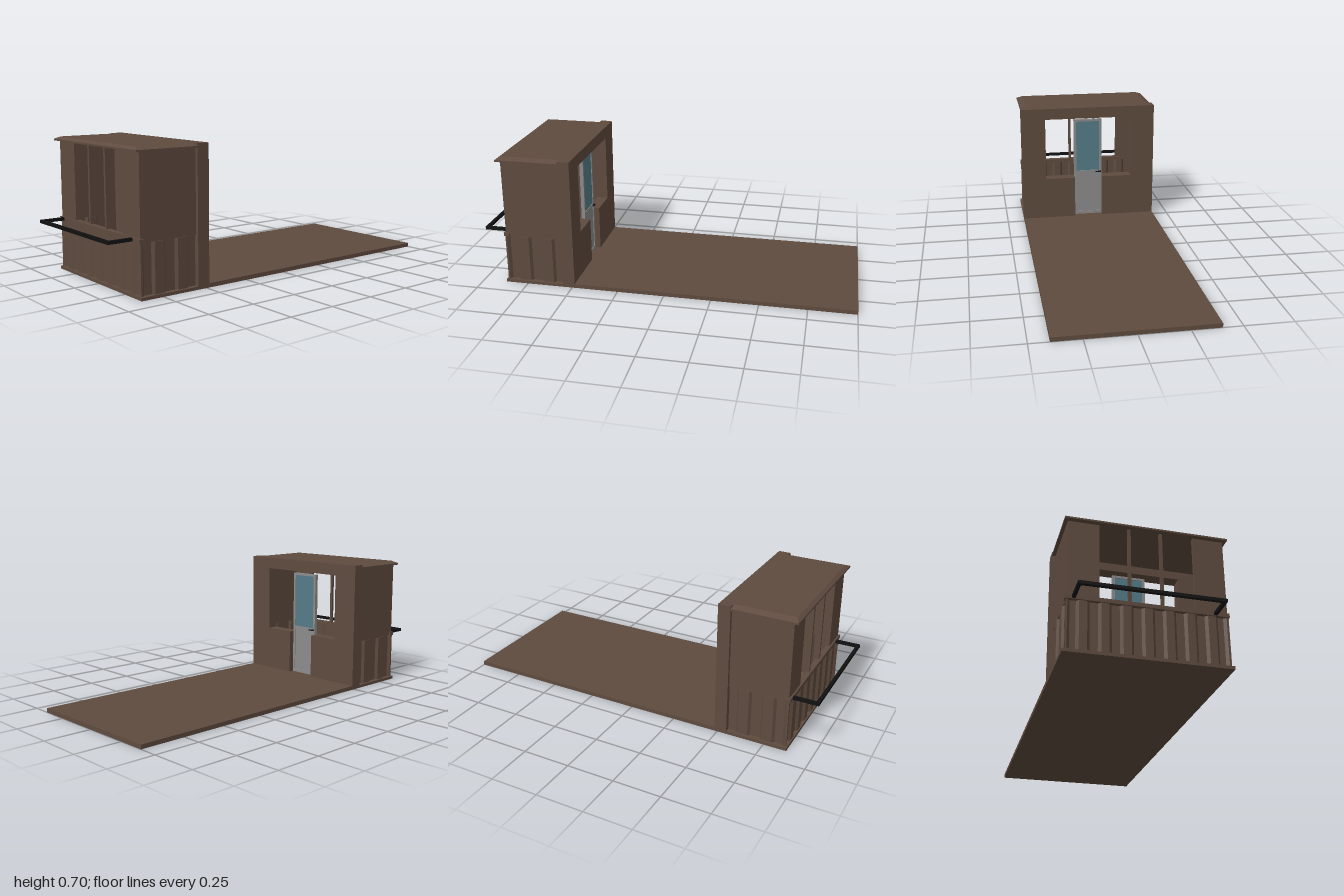
import * as THREE from 'three';

const mat = (color, extra = {}) => new THREE.MeshStandardMaterial({ color, ...extra });

export function createModel() {
  const model = new THREE.Group();
  model.name = 'balconyCabin';
  const brown = mat(0x5f4b3f, { flatShading: true });
  const black = mat(0x111111);
  const grey = mat(0x8c8c8c);
  const glass = mat(0x557c88);

  const add = (name, geometry, material, parent = model) => {
    const mesh = new THREE.Mesh(geometry, material);
    mesh.name = name;
    parent.add(mesh);
    return mesh;
  };
  // Box given by its min and max on each axis
  const box = (name, [x0, x1], [y0, y1], [z0, z1], material = brown, parent = model) => {
    const g = new THREE.BoxGeometry(x1 - x0, y1 - y0, z1 - z0);
    g.translate((x0 + x1) / 2, (y0 + y1) / 2, (z0 + z1) / 2);
    return add(name, g, material, parent);
  };
  const shapeOf = pts => new THREE.Shape(pts.map(p => new THREE.Vector2(...p)));

  // Floor: long deck, and the thinner cabin floor
  box('deck', [-0.4, 0.4], [0, 0.022], [-1, 0.55]);
  box('cabinFloor', [-0.4, 0.4], [0, 0.016], [0.55, 0.87]);

  // Back wall with a wide opening that drops to the floor at the door
  const wall = new THREE.ExtrudeGeometry(shapeOf([
    [-0.4, 0.022], [-0.085, 0.022], [-0.085, 0.27], [-0.26, 0.27], [-0.26, 0.64], [0.26, 0.64],
    [0.26, 0.27], [0.085, 0.27], [0.085, 0.022], [0.4, 0.022], [0.4, 0.705], [-0.4, 0.705],
  ]), { depth: 0.065, bevelEnabled: false });
  wall.translate(0, 0, 0.485);
  add('backWall', wall, brown);

  // Corrugated sheet running along x, outer face at z = 0
  const corrugated = (slopes, pitch, slopeWidth, depth, tail) => {
    const outer = [[0, 0]];
    for (let i = 0; i < slopes; i++) {
      const d = i % 2 ? [depth, 0] : [0, depth];
      outer.push([i * pitch, d[0]], [i * pitch + slopeWidth, d[1]]);
    }
    outer.shift();
    const last = outer[outer.length - 1];
    if (tail > last[0]) outer.push([tail, last[1]]);
    const inner = outer.map(([u, d]) => [u, d + 0.01]).reverse();
    const g = new THREE.ExtrudeGeometry(shapeOf([...outer, ...inner]), { depth: 0.25, bevelEnabled: false });
    return g.rotateX(-Math.PI / 2);
  };
  const front = corrugated(16, 0.0508, 0.013, 0.013, 0);
  add('frontCorrugation', front, brown).position.set(-0.3875, 0.016, 0.864);

  // Sides: corrugated below, flat above, mirrored
  for (const s of [1, -1]) {
    const side = new THREE.Group();
    side.name = s > 0 ? 'leftSide' : 'rightSide';
    side.scale.x = s;
    model.add(side);
    const sheet = corrugated(5, 0.0645, 0.012, 0.013, 0.313).rotateY(Math.PI / 2);
    add('sideCorrugation', sheet, brown, side).position.set(0.3875, 0.016, 0.863);
    box('sideWall', [0.366, 0.383], [0.266, 0.685], [0.55, 0.86], brown, side);
    box('frontPanel', [0.23, 0.383], [0.266, 0.685], [0.843, 0.861], brown, side);
  }

  // Window ledge and slender posts
  box('windowLedge', [-0.391, 0.391], [0.265, 0.285], [0.84, 0.87]);
  for (const x of [-0.086, 0.07]) box('windowPost', [x - 0.0075, x + 0.0075], [0.285, 0.685], [0.845, 0.86]);

  // Roof slab with chamfered front and sides
  const roof = new THREE.BoxGeometry(0.8, 0.013, 0.335);
  roof.translate(0, 0.6985, 0.7175);
  const p = roof.attributes.position;
  for (let i = 0; i < p.count; i++) {
    if (p.getY(i) < 0.7) continue;
    p.setX(i, Math.sign(p.getX(i)) * 0.365);
    if (p.getZ(i) > 0.7) p.setZ(i, 0.866);
  }
  roof.computeVertexNormals();
  add('roofTop', roof, brown);
  box('roofEdge', [-0.4, 0.4], [0.683, 0.692], [0.55, 0.885]);

  // Door: frame rails, glazed upper panel, solid lower panel, handles
  const door = new THREE.Group();
  door.name = 'door';
  model.add(door);
  const dz = [0.515, 0.535], pz = [0.519, 0.531];
  for (const s of [1, -1]) {
    box('doorStile', s > 0 ? [0.071, 0.085] : [-0.085, -0.071], [0.022, 0.625], dz, grey, door);
    const z = 0.525 + s * 0.018;
    box('handleLever', [-0.078, -0.047], [0.293, 0.299], [z - 0.003, z + 0.003], black, door);
  }
  box('handleSpindle', [-0.078, -0.071], [0.292, 0.3], [0.505, 0.545], black, door);
  for (const [y0, y1] of [[0.022, 0.04], [0.285, 0.305], [0.613, 0.625]])
    box('doorRail', [-0.071, 0.071], [y0, y1], dz, grey, door);
  box('doorGlass', [-0.071, 0.071], [0.305, 0.613], pz, glass, door);
  box('doorPanel', [-0.071, 0.071], [0.04, 0.285], pz, grey, door);

  // Projecting front handrail
  const ry = [0.268, 0.284];
  box('railBar', [-0.358, 0.33], ry, [0.984, 1], black);
  box('railArm', [-0.358, -0.342], ry, [0.865, 0.984], black);
  box('railArm', [0.314, 0.33], ry, [0.865, 0.984], black);

  return model;
}
